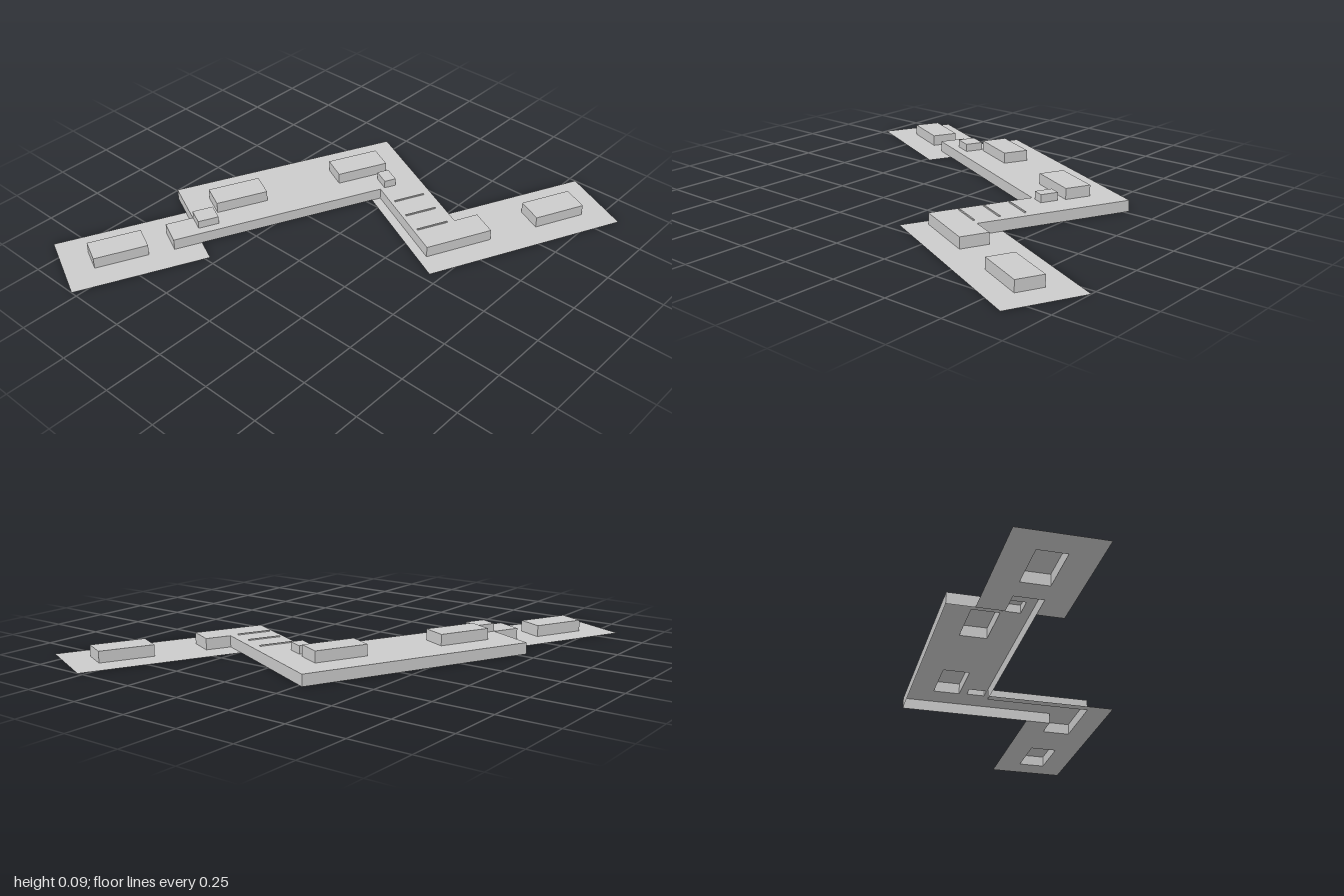
import * as THREE from 'three';

const material = new THREE.MeshStandardMaterial({ color: 0xcccccc, side: THREE.DoubleSide });

const rect = (u0, u1, v0, v1) => [[u0, v0], [u1, v0], [u1, v1], [u0, v1]];
const toPoints = (outline) => outline.map(([u, v]) => new THREE.Vector2(u, -v));

// Flat sheet with openings
function sheet(outline, holes, y) {
  const shape = new THREE.Shape(toPoints(outline));
  holes.forEach((h) => shape.holes.push(new THREE.Path(toPoints(h))));
  return new THREE.ShapeGeometry(shape).rotateX(-Math.PI / 2).translate(0, y, 0);
}

// Vertical walls around an outline (clockwise from above)
function walls(outline, y0, y1) {
  const pos = [];
  outline.forEach(([au, av], i) => {
    const [bu, bv] = outline[(i + 1) % outline.length];
    pos.push(au, y0, av, au, y1, av, bu, y1, bv, au, y0, av, bu, y1, bv, bu, y0, bv);
  });
  const geometry = new THREE.BufferGeometry();
  geometry.setAttribute('position', new THREE.Float32BufferAttribute(pos, 3));
  geometry.computeVertexNormals();
  return geometry;
}

export function createModel() {
  const model = new THREE.Group();
  const site = new THREE.Group();
  site.name = 'site';
  site.rotation.y = -THREE.MathUtils.degToRad(25);
  model.add(site);

  const add = (name, geometry, parent = site) => {
    const mesh = new THREE.Mesh(geometry, material);
    mesh.name = name;
    parent.add(mesh);
  };

  // Hollow block, open below
  const block = (name, outline, holes, y0, y1) => {
    const group = new THREE.Group();
    group.name = name;
    add(name + 'Top', sheet(outline, holes, y1), group);
    add(name + 'Walls', walls(outline, y0, y1), group);
    site.add(group);
  };

  const deck = 0.048;

  // Block footprints
  const backBox = rect(0.167, 0.286, -1.014, -0.785);
  const frontBox = rect(-0.29, -0.175, 0.782, 1.01);
  const deckBoxes = [rect(-0.394, -0.281, -0.343, -0.116), rect(-0.394, -0.282, 0.221, 0.447)];
  const smallBoxes = [rect(-0.247, -0.17, -0.338, -0.286), rect(-0.285, -0.206, 0.466, 0.555)];

  // Raised terrace with an arm and a narrow end
  block('terrace', [
    [-0.511, -0.456], [0.165, -0.456], [0.165, -0.564], [0.287, -0.564], [0.287, -0.265],
    [-0.168, -0.265], [-0.168, 0.675], [-0.287, 0.675], [-0.287, 0.556], [-0.511, 0.556],
  ], [...deckBoxes, ...smallBoxes], 0, deck);

  // Ground plates fitted around the terrace
  add('backPlate', sheet([
    [0.055, -1.13], [0.394, -1.13], [0.394, -0.225], [-0.168, -0.225], [-0.168, -0.265],
    [0.287, -0.265], [0.287, -0.564], [0.165, -0.564], [0.165, -0.456], [0.055, -0.456],
  ], [backBox], 0));
  add('frontPlate', sheet([
    [-0.4, 0.556], [-0.287, 0.556], [-0.287, 0.675], [-0.168, 0.675], [-0.168, 0.556],
    [-0.058, 0.556], [-0.058, 1.13], [-0.4, 1.13],
  ], [frontBox], 0));

  // Blocks on the plates and the terrace
  block('backBlock', backBox, [], 0, deck);
  block('frontBlock', frontBox, [], 0, deck);
  deckBoxes.forEach((b, i) => block('deckBlock' + (i + 1), b, [], deck, 0.095));
  smallBoxes.forEach((b, i) => block('smallBlock' + (i + 1), b, [], deck, 0.082));

  // Thin bars across the arm
  [-0.058, 0.054, 0.163].forEach((u, i) => {
    add('bar' + (i + 1), new THREE.BoxGeometry(0.006, 0.005, 0.14).translate(u, deck + 0.0025, -0.352));
  });

  return model;
}
